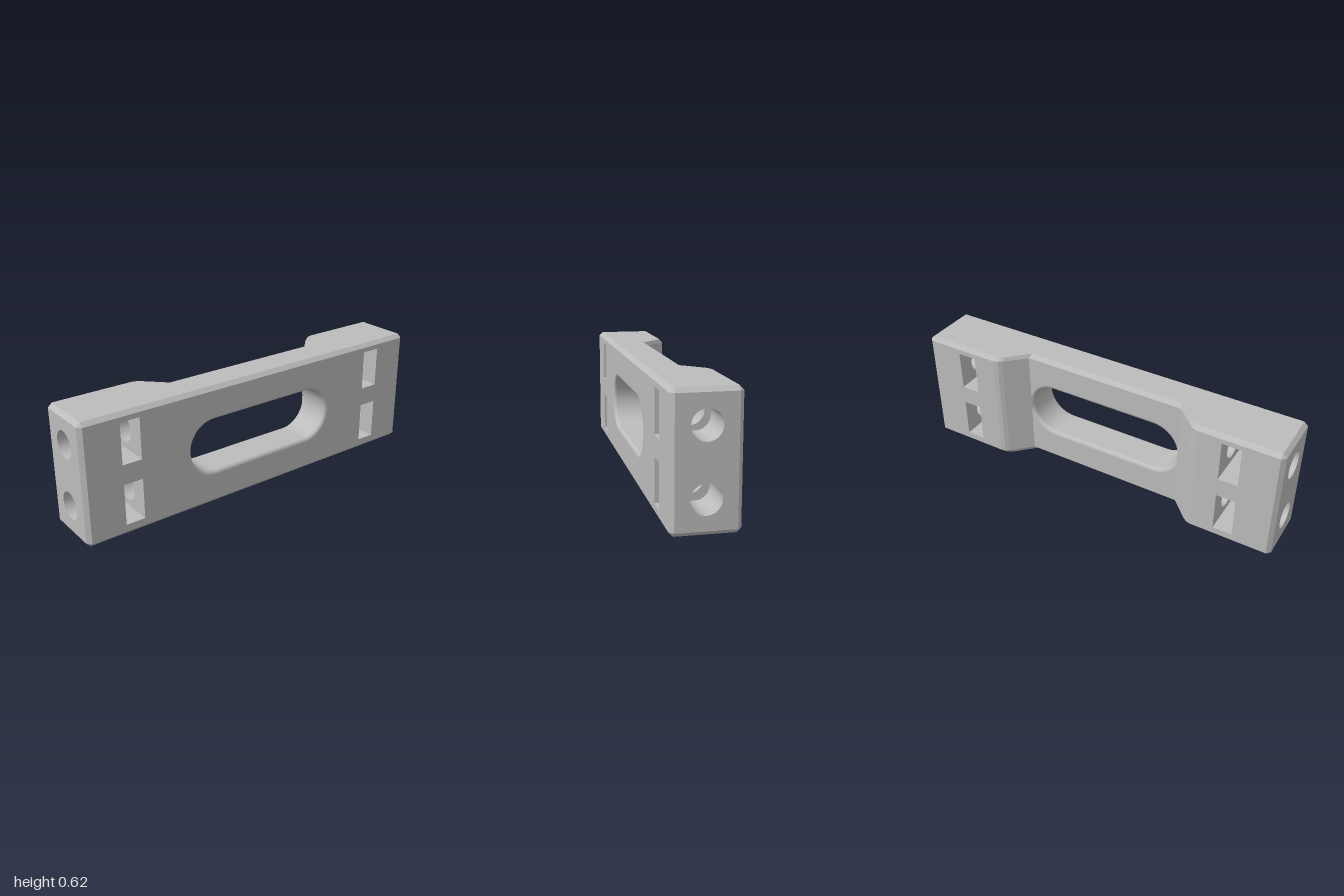
import * as THREE from 'three';

const H = 0.62, C = 0.02, D = 0.155, RECESS = -0.037;
const SLOT = { x: 0.29, y: 0.3135, r: 0.137, fillet: 0.02 };
const WINDOWS = [[0.055, 0.265], [0.365, 0.575]];
const BORE_Y = [0.156, 0.466], BORE_R = 0.0685;

const steel = new THREE.MeshStandardMaterial({ color: 0xbcbcbc, side: THREE.DoubleSide });
steel.name = 'plain grey';

function add(parent, name, geometry) {
  const mesh = new THREE.Mesh(geometry, steel);
  mesh.name = name;
  parent.add(mesh);
  return mesh;
}

const v2 = ([x, y]) => new THREE.Vector2(x, y);
const rectPoints = (x0, y0, x1, y1) => [[x0, y0], [x1, y0], [x1, y1], [x0, y1]].map(v2);
const rect = (...a) => new THREE.Shape(rectPoints(...a));
const windowHole = (x, [y0, y1]) => new THREE.Path(rectPoints(x, y0, x + 0.1, y1));
const circleHole = (y) => new THREE.Path().absarc(0, y, BORE_R, 0, Math.PI * 2);

// Stadium outline grown by a given amount, optionally limited in x
function slotOutline(grow, limit = 1) {
  const points = [], n = 24, r = SLOT.r + grow;
  for (const side of [1, -1]) {
    for (let i = 0; i <= n; i++) {
      const a = -Math.PI / 2 + (Math.PI * i) / n;
      const x = side * (SLOT.x + r * Math.cos(a));
      points.push(new THREE.Vector2(THREE.MathUtils.clamp(x, -limit, limit), SLOT.y + side * r * Math.sin(a)));
    }
  }
  return points;
}

// Quads from lists of four corners, each with its own flat normal
function quads(list) {
  const pos = [];
  for (const [a, b, c, d] of list) pos.push(...a, ...b, ...c, ...a, ...c, ...d);
  const g = new THREE.BufferGeometry();
  g.setAttribute('position', new THREE.Float32BufferAttribute(pos, 3));
  g.computeVertexNormals();
  return g;
}

// Slot wall with rounded rims at front and back
function slotLining() {
  const rings = [], f = SLOT.fillet, steps = 6;
  for (let i = 0; i <= steps; i++) {
    const a = (i / steps) * Math.PI / 2;
    rings.push([f * (1 - Math.sin(a)), D - f * (1 - Math.cos(a)), 1]);
  }
  for (let i = steps; i >= 0; i--) {
    const a = (i / steps) * Math.PI / 2;
    rings.push([f * (1 - Math.sin(a)), RECESS + f * (1 - Math.cos(a)), 0.436]);
  }
  const pos = [], index = [];
  let n = 0;
  rings.forEach(([grow, z, limit], r) => {
    const outline = slotOutline(grow, limit);
    n = outline.length;
    outline.forEach((p, k) => {
      pos.push(p.x, p.y, z);
      if (r === rings.length - 1) return;
      const a = r * n + k, b = r * n + (k + 1) % n;
      index.push(a, b, b + n, a, b + n, a + n);
    });
  });
  const g = new THREE.BufferGeometry();
  g.setAttribute('position', new THREE.Float32BufferAttribute(pos, 3));
  g.setIndex(index);
  g.computeVertexNormals();
  return g;
}

// End face, windows and bores of one end
function endBlock() {
  const end = new THREE.Group();
  const face = rect(-D + C, C, D - C, H - C);
  face.holes = BORE_Y.map(circleHole);
  add(end, 'endFace', new THREE.ShapeGeometry(face, 24).rotateY(Math.PI / 2).translate(1, 0, 0));

  WINDOWS.forEach(([y0, y1], i) => {
    // Window side walls, pierced by the bore
    for (const [x, turn] of [[0.7, 1], [0.8, -1]]) {
      const wall = rect(-D, y0, D, y1);
      wall.holes = [circleHole(BORE_Y[i])];
      add(end, 'windowWall', new THREE.ShapeGeometry(wall, 24).rotateY(turn * Math.PI / 2).translate(x, 0, 0));
    }
    // Window floor and ceiling
    for (const [y, turn] of [[y0, -1], [y1, 1]]) {
      add(end, 'windowLedge', new THREE.PlaneGeometry(0.1, 2 * D).rotateX(turn * Math.PI / 2).translate(0.75, y, 0));
    }
    // Bore from the end into the window, then a blind stretch beyond it
    for (const [x0, x1] of [[0.8, 1], [0.58, 0.7]]) {
      const tube = new THREE.CylinderGeometry(BORE_R, BORE_R, x1 - x0, 48, 1, true);
      add(end, 'bore', tube.rotateZ(Math.PI / 2).translate((x0 + x1) / 2, BORE_Y[i], 0));
    }
    add(end, 'boreEnd', new THREE.CircleGeometry(BORE_R, 48).rotateY(Math.PI / 2).translate(0.58, BORE_Y[i], 0));
  });
  return end;
}

export function createModel() {
  const model = new THREE.Group();
  model.name = 'slottedBlock';

  // Plan outline at mid height and its chamfered version at top and bottom
  const mirror = (half) => [...half, ...half.map(([x, z]) => [-x, z]).reverse()];
  const outer = mirror([[0.98, D], [1, D - C], [1, C - D], [0.98, -D],
    [0.58, -D], [0.555, -0.149], [0.535, -0.135], [0.437, RECESS]]);
  const inner = mirror([[0.98, D - C], [0.98, D - C], [0.98, C - D], [0.98, C - D],
    [0.573, C - D], [0.55, -0.13], [0.527, -0.115], [0.429, RECESS + C]]);

  // Chamfer bands all round, plus the plain walls between the pierced faces
  const pierced = [1, 3, 7, 11, 13, 15], chamfers = [], walls = [];
  outer.forEach((p, i) => {
    const j = (i + 1) % outer.length;
    const at = ([x, z], y) => [x, y, z];
    const band = (low, y0, high, y1) => [at(low[i], y0), at(low[j], y0), at(high[j], y1), at(high[i], y1)];
    chamfers.push(band(inner, 0, outer, C), band(outer, H - C, inner, H));
    if (!pierced.includes(i)) walls.push(band(outer, C, outer, H - C));
  });
  add(model, 'chamfers', quads(chamfers));
  add(model, 'rampsAndCorners', quads(walls));

  // Top and bottom
  const topShape = new THREE.Shape(inner.map(([x, z]) => new THREE.Vector2(x, -z)));
  add(model, 'topFace', new THREE.ShapeGeometry(topShape).rotateX(-Math.PI / 2).translate(0, H, 0));
  const bottomShape = new THREE.Shape(inner.map(v2));
  add(model, 'bottomFace', new THREE.ShapeGeometry(bottomShape).rotateX(Math.PI / 2));

  // Front face with slot and four windows
  const front = rect(-0.98, C, 0.98, H - C);
  front.holes = [new THREE.Path(slotOutline(SLOT.fillet))];
  for (const w of WINDOWS) front.holes.push(windowHole(0.7, w), windowHole(-0.8, w));
  add(model, 'frontFace', new THREE.ShapeGeometry(front).translate(0, 0, D));

  // Recessed back face and the two raised pads
  const recess = rect(-0.437, C, 0.437, H - C);
  recess.holes = [new THREE.Path(slotOutline(SLOT.fillet, 0.436))];
  add(model, 'recessFace', new THREE.ShapeGeometry(recess).rotateY(Math.PI).translate(0, 0, RECESS));
  for (const [x0, x1, wx] of [[0.58, 0.98, 0.7], [-0.98, -0.58, -0.8]]) {
    const pad = rect(x0, C, x1, H - C);
    pad.holes = WINDOWS.map((w) => windowHole(wx, w));
    add(model, 'backPad', new THREE.ShapeGeometry(pad).rotateY(Math.PI).translate(0, 0, -D));
  }

  add(model, 'slotLining', slotLining());

  // Both ends are the same, turned half round
  for (const [name, turn] of [['leftEnd', 0], ['rightEnd', Math.PI]]) {
    const end = endBlock();
    end.name = name;
    end.rotation.y = turn;
    model.add(end);
  }
  return model;
}
